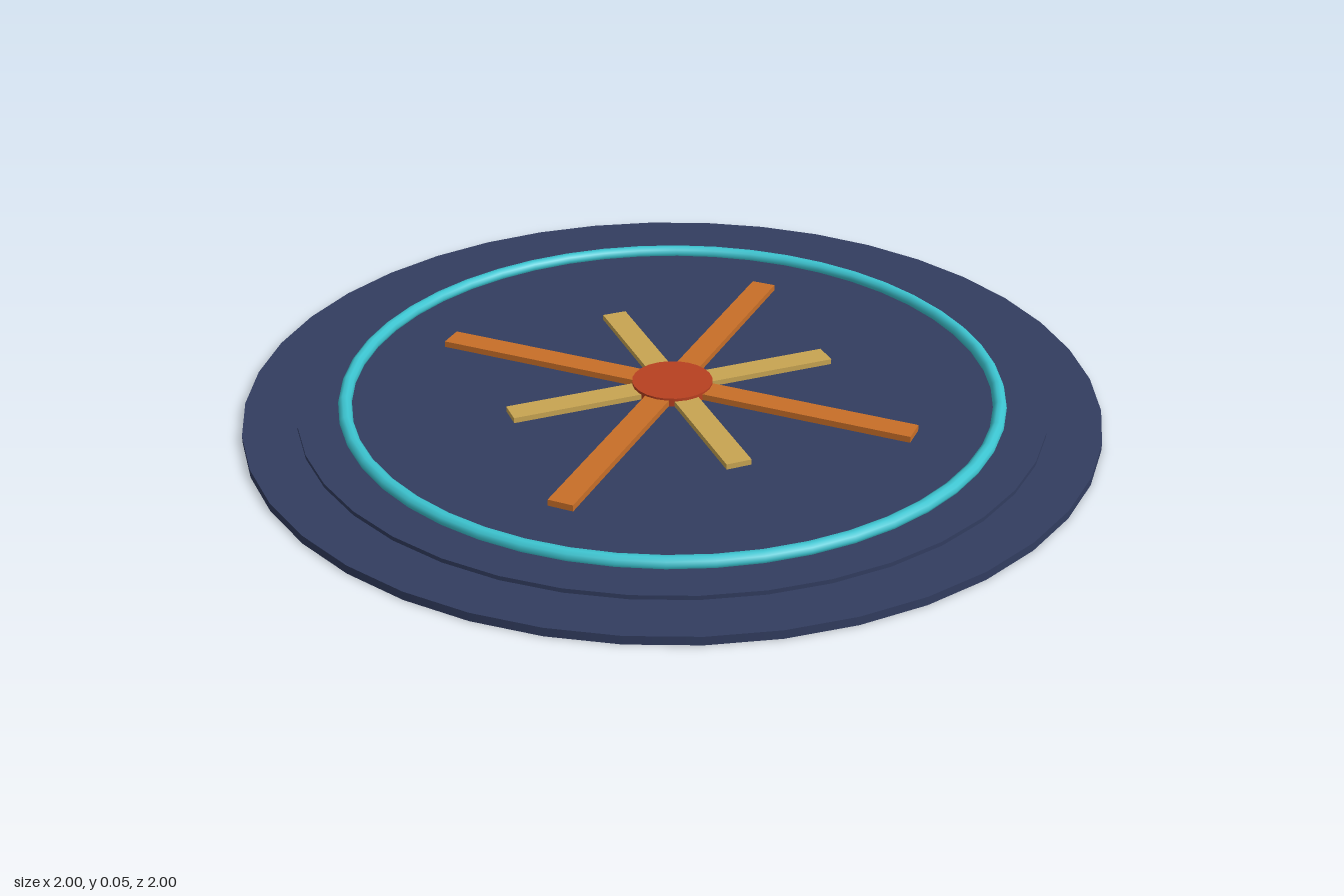
import * as THREE from 'three';

const material = (name, color) => {
  const m = new THREE.MeshStandardMaterial({ color });
  m.name = name;
  return m;
};

export function createModel() {
  const group = new THREE.Group();
  const navy = material('navy', 0x323d60);
  const teal = material('teal', 0x3cc4d0);
  const orange = material('orange', 0xc86f28);
  const gold = material('gold', 0xc8a452);
  const red = material('red', 0xb84020);

  const add = (name, geometry, mat, y) => {
    const mesh = new THREE.Mesh(geometry, mat);
    mesh.name = name;
    mesh.position.y = y;
    group.add(mesh);
    return mesh;
  };
  // upright disc between two heights
  const disc = (name, radius, bottom, top, sides, mat) =>
    add(name, new THREE.CylinderGeometry(radius, radius, top - bottom, sides), mat, (bottom + top) / 2);

  // stepped base
  disc('baseDisc', 1, 0, 0.02, 40, navy);
  disc('raisedDisc', 0.875, 0.015, 0.03, 40, navy);

  // raised ring
  add('ring', new THREE.TorusGeometry(0.765, 0.016, 10, 48).rotateX(Math.PI / 2), teal, 0.037);

  // long cross bars and short diagonal bars
  for (let i = 0; i < 2; i++) {
    const long = add('longBar', new THREE.BoxGeometry(1.19, 0.02, 0.06), orange, 0.035);
    long.rotation.y = i * Math.PI / 2;
    const short = add('shortBar', new THREE.BoxGeometry(0.8, 0.018, 0.06), gold, 0.034);
    short.rotation.y = Math.PI / 4 + i * Math.PI / 2;
  }

  // centre hub
  disc('hub', 0.095, 0.025, 0.05, 24, red);

  return group;
}
